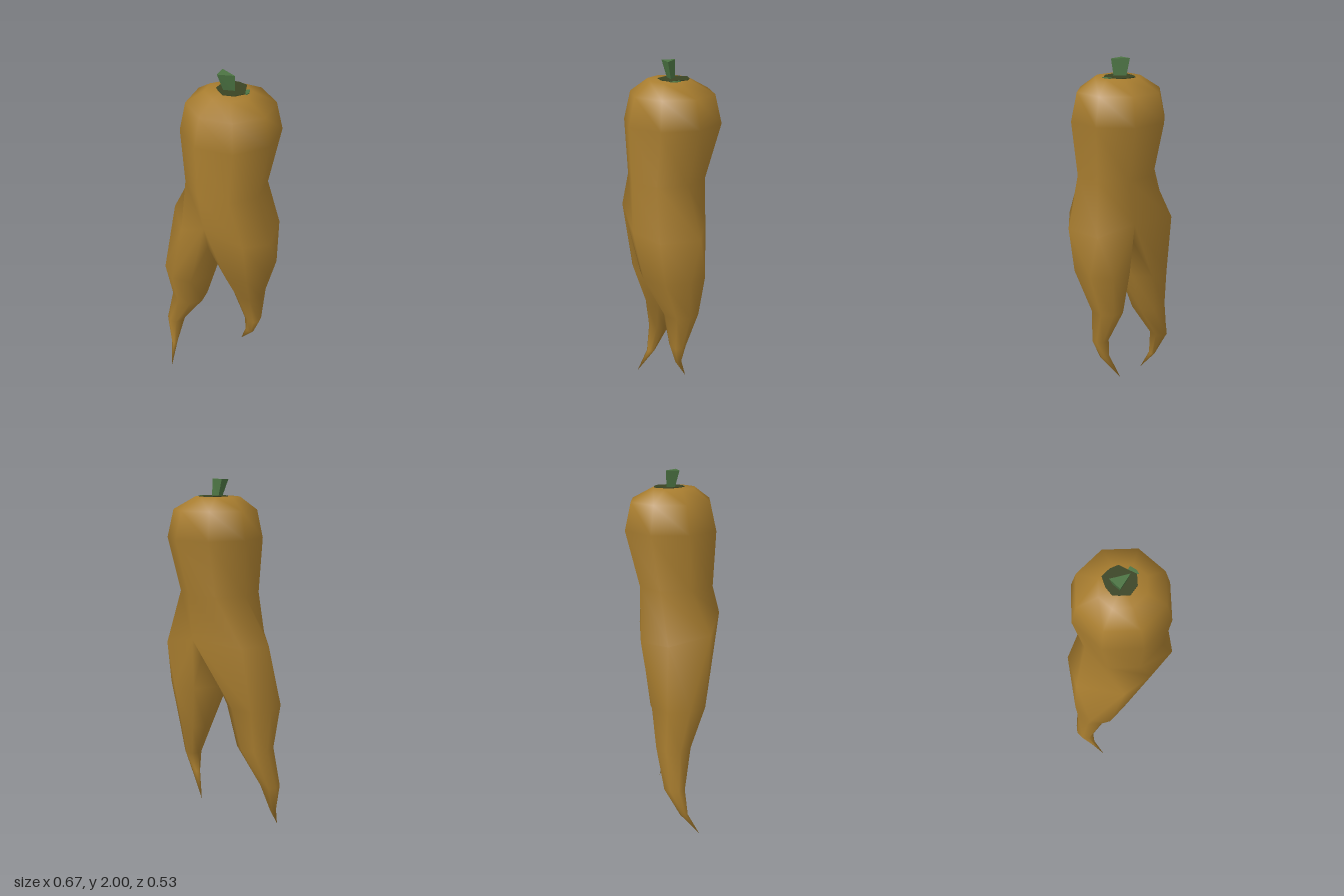
import * as THREE from 'three';

const SIDES = 8;
const PHASE = 0.17;

// Eight-sided elliptical ring: height, centre x/z, radii x/z
function ring([y, cx, cz, rx, rz]) {
  return Array.from({ length: SIDES }, (_, k) => {
    const a = PHASE + (k * Math.PI * 2) / SIDES;
    return [cx + rx * Math.cos(a), y, cz + rz * Math.sin(a)];
  });
}

// Small mesh builder that shares vertices between lofted sections
function builder() {
  const pos = [], idx = [];
  const add = (p) => pos.push(...p) / 3 - 1;
  const bridge = (u, l) => {
    const n = u.length;
    for (let k = 0; k < n; k++) {
      const j = (k + 1) % n;
      idx.push(u[k], u[j], l[k]);
      if (l[k] !== l[j]) idx.push(u[j], l[j], l[k]);
    }
  };
  const cap = (r, p) => {
    const c = add(p);
    r.forEach((v, k) => idx.push(c, r[(k + 1) % r.length], v));
  };
  const build = () => {
    const g = new THREE.BufferGeometry();
    g.setAttribute('position', new THREE.Float32BufferAttribute(pos, 3));
    g.setIndex(idx);
    g.computeVertexNormals();
    return g;
  };
  return { add, bridge, cap, build };
}

// Torso that forks into two legs at a shared crotch
function rootGeometry() {
  const b = builder();
  const torso = [
    [1.908, 0.042, 0.01, 0.125, 0.115],
    [1.84, 0.045, -0.008, 0.229, 0.226],
    [1.69, 0.047, -0.008, 0.261, 0.262],
    [1.39, 0.043, 0.025, 0.221, 0.213],
  ].map((r) => ring(r).map(b.add));
  b.cap(torso[0], [0.042, 1.912, 0.005]);
  for (let i = 1; i < torso.length; i++) b.bridge(torso[i - 1], torso[i]);

  // Hip outline, in the same order as the torso rings
  const hip = [
    [0.333, 1.1, 0.04], [0.255, 1.14, 0.19], [0.06, 1.23, 0.264], [-0.1, 1.14, 0.248],
    [-0.285, 1.12, 0.06], [-0.235, 1.12, -0.105], [0.05, 1.15, -0.19], [0.265, 1.1, -0.17],
  ].map(b.add);
  b.bridge(torso[3], hip);

  // Crotch line, front to back
  const c = [[0.012, 1.02, 0.16], [0.02, 1.02, 0.02], [0.04, 1.06, -0.12]].map(b.add);
  const leg = (top, rings, tip) => {
    let prev = top;
    for (const r of rings) {
      const next = ring(r).map(b.add);
      b.bridge(prev, next);
      prev = next;
    }
    b.bridge(prev, Array(SIDES).fill(b.add(tip)));
  };
  // Left leg, shorter and bent backwards
  leg([hip[0], hip[1], hip[2], c[0], c[1], c[2], hip[6], hip[7]], [
    [0.86, 0.158, -0.015, 0.159, 0.183],
    [0.62, 0.15, -0.06, 0.092, 0.102],
    [0.43, 0.19, -0.045, 0.049, 0.047],
    [0.315, 0.166, -0.048, 0.028, 0.018],
  ], [0.083, 0.17, -0.087]);
  // Right leg, longer and bent forwards
  leg([c[1], c[0], hip[2], hip[3], hip[4], hip[5], hip[6], c[2]], [
    [0.76, -0.162, 0.085, 0.149, 0.158],
    [0.52, -0.193, 0.065, 0.104, 0.103],
    [0.3, -0.284, 0.092, 0.051, 0.062],
    [0.13, -0.268, 0.143, 0.014, 0.024],
  ], [-0.235, 0, 0.226]);
  return b.build();
}

// Three-sided stalk, flaring and leaning towards its cut end
function stemGeometry() {
  const b = builder();
  const top = [[0.08, 2, 0.012], [0, 2, 0.05], [-0.014, 2, -0.02]].map(b.add);
  const base = [[0.072, 1.9, -0.004], [0.02, 1.9, 0.018], [0.01, 1.9, -0.022]].map(b.add);
  b.bridge(top, base);
  b.cap(top, [0.022, 2, 0.014]);
  const g = b.build().toNonIndexed();
  g.computeVertexNormals();
  return g;
}

// Thin flat patch lying on the crown
function patchGeometry(points) {
  const s = new THREE.Shape(points.map(([x, z]) => new THREE.Vector2(x, -z)));
  return new THREE.ExtrudeGeometry(s, { depth: 0.004, bevelEnabled: false }).rotateX(-Math.PI / 2);
}

export function createModel() {
  const ochre = new THREE.MeshStandardMaterial({ color: 0xa87d2f });
  ochre.name = 'ochre root';
  const green = new THREE.MeshStandardMaterial({ color: 0x4c7443 });
  green.name = 'stem green';
  const dark = new THREE.MeshStandardMaterial({ color: 0x3a4423 });
  dark.name = 'dark green';

  const group = new THREE.Group();
  group.name = 'forkedRoot';
  const part = (name, geometry, material, y = 0) => {
    const m = new THREE.Mesh(geometry, material);
    m.name = name;
    m.position.y = y;
    group.add(m);
  };
  part('root', rootGeometry(), ochre);
  part('stem', stemGeometry(), green);
  part('crownPatch', patchGeometry([
    [-0.028, -0.03], [-0.012, -0.085], [0.04, -0.097], [0.085, -0.09], [0.105, -0.05],
    [0.13, -0.005], [0.1, 0.045], [0.045, 0.067], [0, 0.04], [-0.025, 0.02],
  ]), dark, 1.909);
  part('crownLeaf', patchGeometry([
    [0.104, -0.045], [0.125, -0.056], [0.14, -0.025], [0.138, 0], [0.128, -0.005],
  ]), green, 1.908);
  return group;
}
